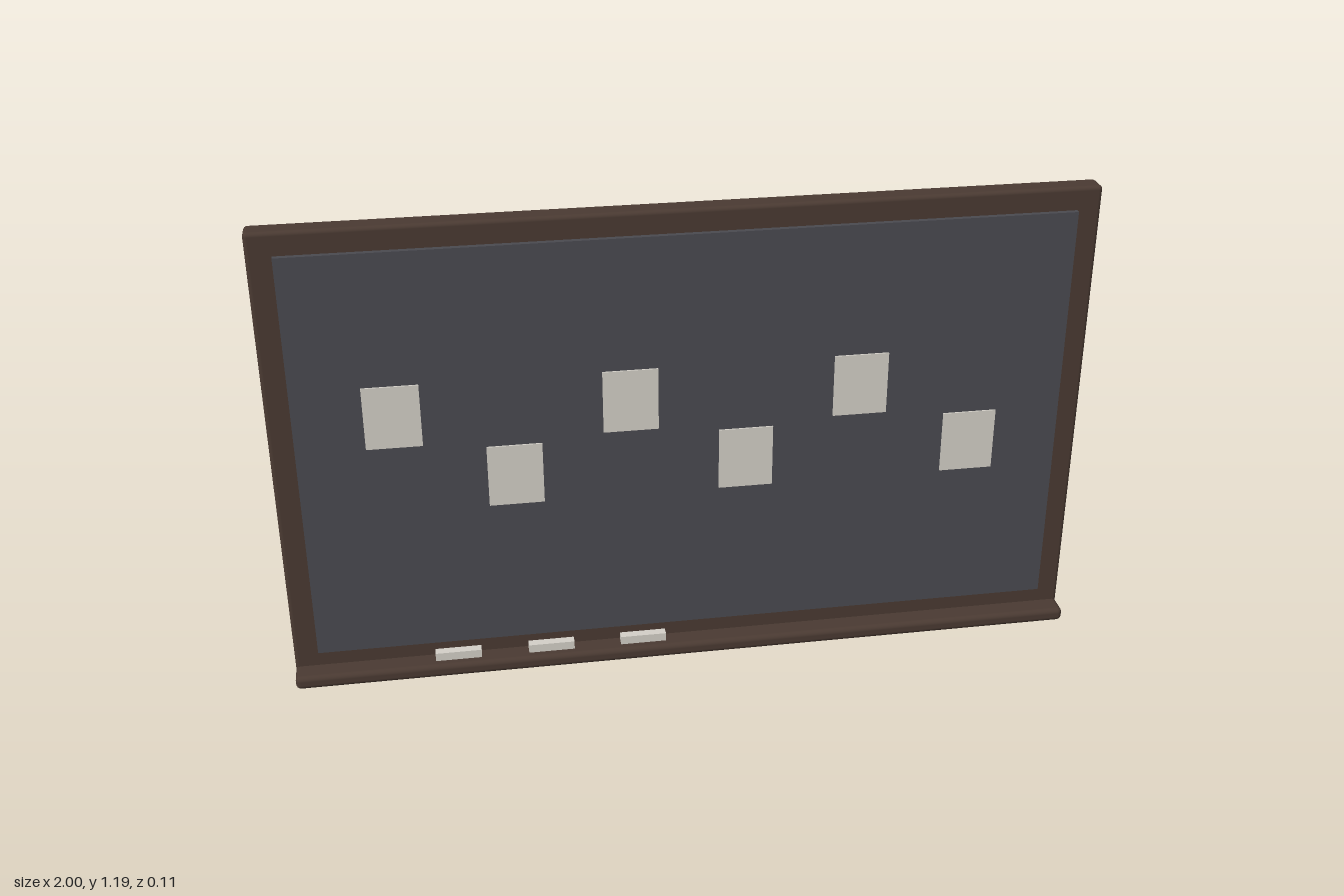
import * as THREE from 'three';
import { RoundedBoxGeometry } from 'three/addons/geometries/RoundedBoxGeometry.js';

const material = (color) => new THREE.MeshStandardMaterial({ color });

export function createModel() {
  const group = new THREE.Group();
  const wood = material(0x4a3a32);
  const slate = material(0x4a4a50);
  const paper = material(0xd4d0c8);

  // Box given by its limits on each axis, with rounded edges if a radius is set
  const addBox = (name, [x0, x1], [y0, y1], [z0, z1], mat, radius = 0) => {
    const size = [x1 - x0, y1 - y0, z1 - z0];
    const geometry = radius
      ? new RoundedBoxGeometry(...size, 3, radius)
      : new THREE.BoxGeometry(...size);
    const mesh = new THREE.Mesh(geometry, mat);
    mesh.name = name;
    mesh.position.set((x0 + x1) / 2, (y0 + y1) / 2, (z0 + z1) / 2);
    group.add(mesh);
  };

  // Wooden backing frame, raised writing surface and ledge
  addBox('frame', [-1, 1], [0.02, 1.195], [-0.055, 0.003], wood, 0.01);
  addBox('writingSurface', [-0.94, 0.94], [0.08, 1.138], [-0.005, 0.016], slate);
  addBox('ledge', [-1, 1], [0, 0.036], [-0.036, 0.057], wood, 0.013);

  // Paper notes in two staggered rows
  for (let i = 0; i < 6; i++) {
    const x = -0.707 + i * 0.2828;
    const y = i % 2 ? 0.55 : 0.727;
    addBox(`note${i + 1}`, [x - 0.067, x + 0.067], [y - 0.08, y + 0.08], [0.022, 0.026], paper);
  }

  // Chalk sticks above the ledge
  for (let i = 0; i < 3; i++) {
    const x = -0.592 + i * 0.2355;
    addBox(`chalk${i + 1}`, [x - 0.058, x + 0.058], [0.043, 0.065], [0.022, 0.044], paper);
  }

  return group;
}
